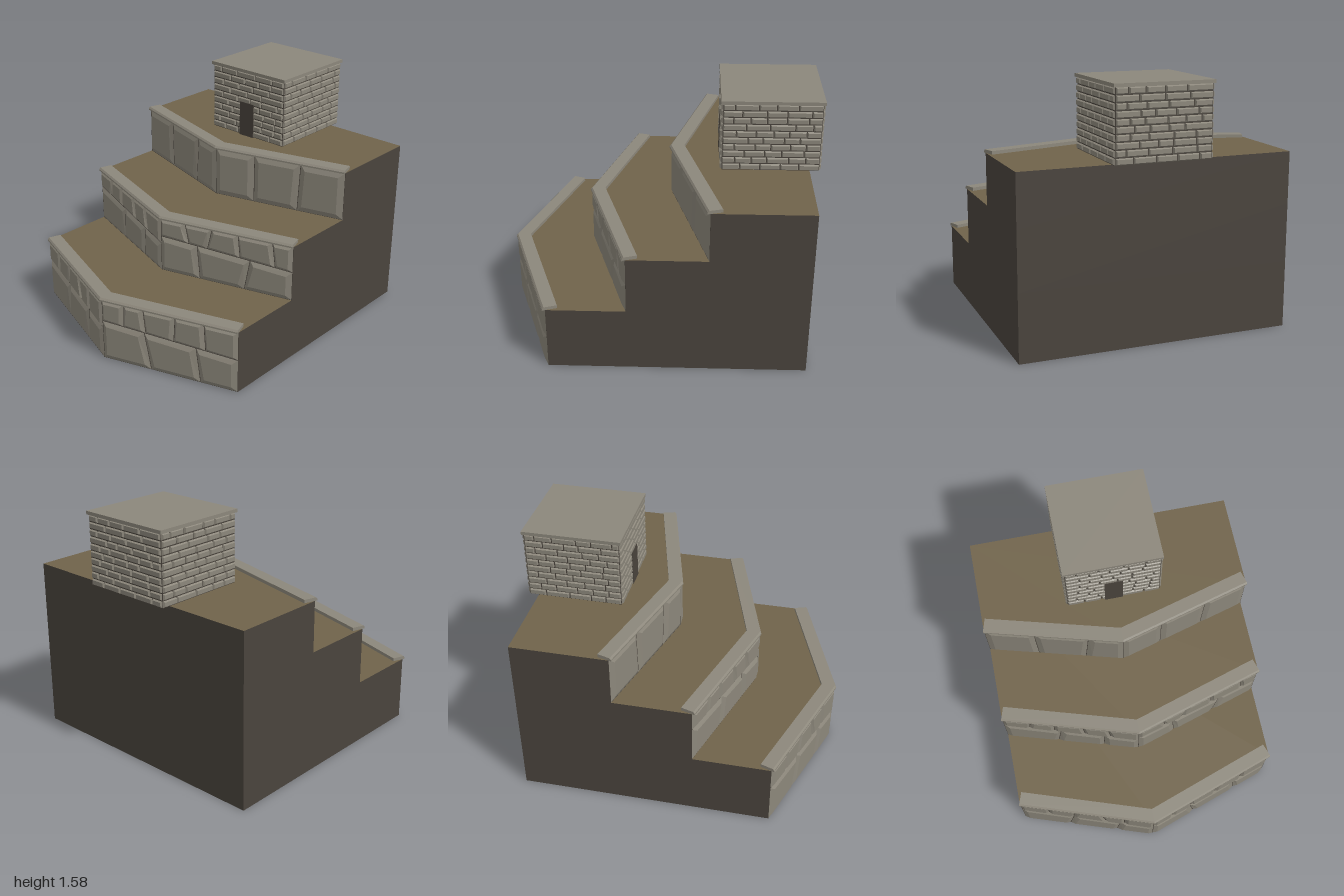
import * as THREE from 'three';

const W = 0.865, BACK = -0.93;

// Each tier: bottom, top, front z at centre and ends, and stone courses.
// A course joint is [x at top, x at bottom].
const TIERS = [
  { y0: 0, y1: 0.42, zc: 0.98, ze: 0.685, line: [0.27, 0.225],
    lower: [[[-0.52, -0.555], [-0.215, -0.24]], [[0.275, 0.316], [0.605, 0.633]]],
    upper: [[[-0.68, -0.685], [-0.5, -0.525], [-0.34, -0.315], [-0.19, -0.19]],
      [[0.147, 0.14], [0.27, 0.285], [0.475, 0.465], [0.655, 0.665]]] },
  { y0: 0.42, y1: 0.79, zc: 0.455, ze: 0.19, line: [0.665, 0.615],
    lower: [[[-0.498, -0.525], [-0.223, -0.223]], [[0.245, 0.265], [0.595, 0.56]]],
    upper: [[[-0.685, -0.7], [-0.54, -0.54], [-0.36, -0.345], [-0.2, -0.18]],
      [[0.165, 0.19], [0.345, 0.315], [0.515, 0.53], [0.735, 0.755]]] },
  { y0: 0.79, y1: 1.115, zc: -0.07, ze: -0.31,
    lower: [[[-0.555, -0.545], [-0.215, -0.24]], [[0.267, 0.267], [0.577, 0.563]]] },
];

function flatGeometry(tris) {
  const g = new THREE.BufferGeometry();
  g.setAttribute('position', new THREE.Float32BufferAttribute(tris, 3));
  g.computeVertexNormals();
  return g;
}

function quad(out, a, b, c, d) {
  for (const p of [a, b, c, a, c, d]) out.push(...p);
}

// Bevelled stone: corners [x, y] run bottom left, bottom right, top right, top left
function stone(out, corners, gap, bevel, raise, place) {
  const sx = [1, -1, -1, 1], sy = [1, 1, -1, -1];
  const ring = (inset, d) => corners.map(([x, y], i) => place(x + sx[i] * inset, y + sy[i] * inset, d));
  const low = ring(gap, 0), high = ring(gap + bevel, raise);
  quad(out, ...high);
  for (let i = 0; i < 4; i++) {
    const j = (i + 1) % 4;
    quad(out, low[i], low[j], high[j], high[i]);
  }
}

// Stones of one course in one half of a wall
function course(out, x0, x1, joints, yBottom, yTop, bevel, place) {
  const edges = [[x0, x0], ...joints, [x1, x1]];
  for (let i = 0; i < edges.length - 1; i++) {
    const [tl, bl] = edges[i], [tr, br] = edges[i + 1];
    stone(out, [[bl, yBottom(bl)], [br, yBottom(br)], [tr, yTop(tr)], [tl, yTop(tl)]], 0.002, bevel, 0.016, place);
  }
}

function stoneWall(t) {
  const out = [], k = (t.zc - t.ze) / W;
  const place = (x, y, d) => [x, y, t.zc - k * Math.abs(x) + d];
  const bottom = () => t.y0, top = () => t.y1;
  [-W, 0].forEach((x0, h) => {
    const x1 = x0 + W;
    if (!t.line) return course(out, x0, x1, t.lower[h], bottom, top, 0.035, place);
    const mid = (x) => t.line[0] + (t.line[1] - t.line[0]) * (x - x0) / W;
    course(out, x0, x1, t.lower[h], bottom, mid, 0.03, place);
    course(out, x0, x1, t.upper[h], mid, top, 0.02, place);
  });
  return flatGeometry(out);
}

// Coping swept along the pointed wall, mitred at the centre
function coping(t) {
  const k = (t.zc - t.ze) / W, L = Math.hypot(1, k);
  const profile = [[-0.075, 0], [0.018, 0], [0.018, 0.01], [0.008, 0.021], [-0.075, 0.021]];
  const section = (s) => profile.map(([d, h]) => s === 0
    ? [0, t.y1 + h, t.zc + d * L]
    : [s * (W + d * k / L), t.y1 + h, t.ze + d / L]);
  const rows = [-1, 0, 1].map(section), out = [], n = profile.length;
  for (let r = 0; r < 2; r++) {
    for (let i = 0; i < n; i++) {
      const j = (i + 1) % n;
      quad(out, rows[r][i], rows[r + 1][i], rows[r + 1][j], rows[r][j]);
    }
  }
  for (let i = 1; i < n - 1; i++) {
    out.push(...rows[2][0], ...rows[2][i + 1], ...rows[2][i]);
    out.push(...rows[0][0], ...rows[0][i], ...rows[0][i + 1]);
  }
  return flatGeometry(out);
}

// Plain earth sides, open at the bottom
function tierSides(t) {
  const plan = [[-W, BACK], [-W, t.ze], [0, t.zc], [W, t.ze], [W, BACK]], out = [];
  plan.forEach(([x, z], i) => {
    const [u, v] = plan[(i + 1) % plan.length];
    quad(out, [x, t.y0, z], [u, t.y0, v], [u, t.y1, v], [x, t.y1, z]);
  });
  return flatGeometry(out);
}

function tierGround(t) {
  const s = new THREE.Shape();
  s.moveTo(-W, -BACK);
  s.lineTo(-W, -t.ze);
  s.lineTo(0, -t.zc);
  s.lineTo(W, -t.ze);
  s.lineTo(W, -BACK);
  return new THREE.ShapeGeometry(s).rotateX(-Math.PI / 2).translate(0, t.y1, 0);
}

// Ten courses of irregular bricks on one side of the hut
function brickSide(seed, half, y0, y1) {
  let s = seed;
  const rand = () => (s = (s * 16807) % 2147483647) / 2147483647;
  const out = [], rows = 10, h = (y1 - y0) / rows;
  const place = (x, y, d) => [x, y, half + d];
  for (let r = 0; r < rows; r++) {
    const y = y0 + r * h;
    let x = -half;
    let len = r % 2 ? 0.06 + rand() * 0.03 : 0.11 + rand() * 0.05;
    while (x < half - 0.001) {
      let end = x + len;
      if (half - end < 0.045) end = half;
      stone(out, [[x, y], [end, y], [end, y + h], [x, y + h]], 0.003, 0.006, 0.011, place);
      x = end;
      len = 0.09 + rand() * 0.07;
    }
  }
  return flatGeometry(out);
}

export function createModel() {
  const model = new THREE.Group();
  model.name = 'terracedHill';
  const material = (name, color, side = THREE.FrontSide) => {
    const m = new THREE.MeshStandardMaterial({ color, side });
    m.name = name;
    return m;
  };
  const stoneMat = material('stone', 0x8c877b);
  const darkMat = material('darkEarth', 0x4a443d, THREE.DoubleSide);
  const dirtMat = material('dirt', 0x70634a, THREE.DoubleSide);
  const add = (parent, name, geometry, mat) => {
    const mesh = new THREE.Mesh(geometry, mat);
    mesh.name = name;
    parent.add(mesh);
    return mesh;
  };

  // Terraces
  TIERS.forEach((t, i) => {
    const tier = new THREE.Group();
    tier.name = 'terrace' + (i + 1);
    add(tier, 'earthSides', tierSides(t), darkMat);
    add(tier, 'ground', tierGround(t), dirtMat);
    add(tier, 'stoneWall', stoneWall(t), stoneMat);
    add(tier, 'coping', coping(t), stoneMat);
    model.add(tier);
  });

  // Brick hut
  const hut = new THREE.Group();
  hut.name = 'hut';
  hut.position.z = -0.685;
  const half = 0.303, y0 = 1.117, y1 = 1.56;
  add(hut, 'core', new THREE.BoxGeometry(half * 2, y1 - y0, half * 2).translate(0, (y0 + y1) / 2, 0), darkMat);
  for (let i = 0; i < 4; i++) {
    add(hut, 'brickSide' + (i + 1), brickSide(1234 + i * 777, half, y0, y1), stoneMat).rotation.y = i * Math.PI / 2;
  }
  add(hut, 'roofSlab', new THREE.BoxGeometry(0.63, 0.022, 0.63).translate(0, 1.569, 0), stoneMat);
  add(hut, 'door', new THREE.BoxGeometry(0.118, 0.235, 0.009).translate(0, 1.2345, half + 0.0095), darkMat);
  model.add(hut);
  return model;
}
